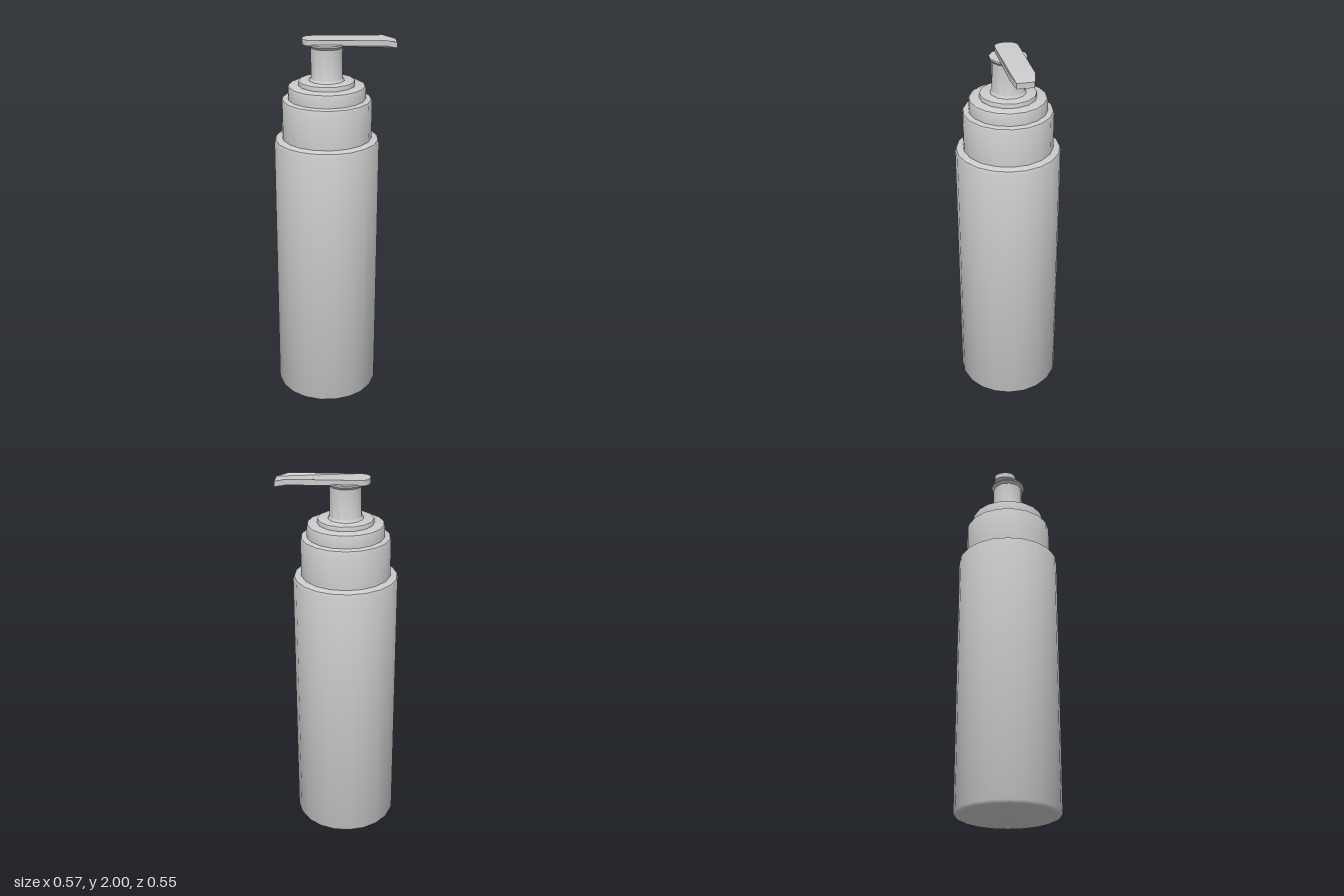
import * as THREE from 'three';
import { toCreasedNormals } from 'three/addons/utils/BufferGeometryUtils.js';

const material = new THREE.MeshStandardMaterial({ color: 0xcccccc });

function addMesh(group, name, geometry, crease) {
  const mesh = new THREE.Mesh(toCreasedNormals(geometry, crease), material);
  mesh.name = name;
  group.add(mesh);
  return mesh;
}

// Turned part from [radius, height] pairs, listed bottom to top
function turned(group, name, sides, profile) {
  const points = profile.map(([r, y]) => new THREE.Vector2(r, y));
  return addMesh(group, name, new THREE.LatheGeometry(points, sides), 0.75);
}

// Short cylinder with a softened top rim
function ring(group, name, sides, r, y0, y1, bevel) {
  return turned(group, name, sides, [
    [r, y0], [r, y1 - bevel], [r - bevel * 0.3, y1 - bevel * 0.3], [r - bevel, y1], [0, y1],
  ]);
}

export function createModel() {
  const model = new THREE.Group();
  const pump = new THREE.Group();
  pump.name = 'pumpBottle';
  pump.position.set(-0.007, 0, -0.003);
  model.add(pump);

  // Bottle with rounded base and shoulder
  turned(pump, 'bottleBody', 20, [
    [0, 0], [0.255, 0], [0.27, 0.006], [0.277, 0.02],
    [0.277, 1.455], [0.271, 1.472], [0.255, 1.48], [0, 1.48],
  ]);

  // Stepped collar
  ring(pump, 'collar', 18, 0.236, 1.475, 1.69, 0.015);
  ring(pump, 'collarStep', 18, 0.203, 1.685, 1.76, 0.015);
  ring(pump, 'collarTop', 14, 0.148, 1.755, 1.785, 0.008);

  // Pump stem, slightly flared at both ends
  turned(pump, 'stem', 12, [
    [0.095, 1.783], [0.084, 1.797], [0.084, 1.955], [0.097, 1.968], [0.097, 1.977], [0, 1.977],
  ]);

  // Flat nozzle: rounded at the back, narrowing to the tip
  const w = 0.061;
  const plan = new THREE.Shape();
  plan.moveTo(-0.075, -w);
  plan.lineTo(0.291, -w);
  plan.lineTo(0.355, -0.044);
  plan.lineTo(0.355, 0.044);
  plan.lineTo(0.291, w);
  plan.lineTo(-0.075, w);
  plan.bezierCurveTo(-0.143, w, -0.143, -w, -0.075, -w);
  const slab = new THREE.ExtrudeGeometry(plan, { depth: 0.029, bevelEnabled: false, curveSegments: 8 });
  slab.rotateX(-Math.PI / 2);
  // Bend the tip downwards
  const pos = slab.attributes.position;
  for (let i = 0; i < pos.count; i++) {
    if (pos.getX(i) > 0.3) pos.setY(i, pos.getY(i) - 0.016);
  }
  slab.translate(0, 1.971, -0.008);
  const nozzle = addMesh(pump, 'nozzle', slab, 0.5);
  nozzle.rotation.y = -0.762;

  return model;
}
